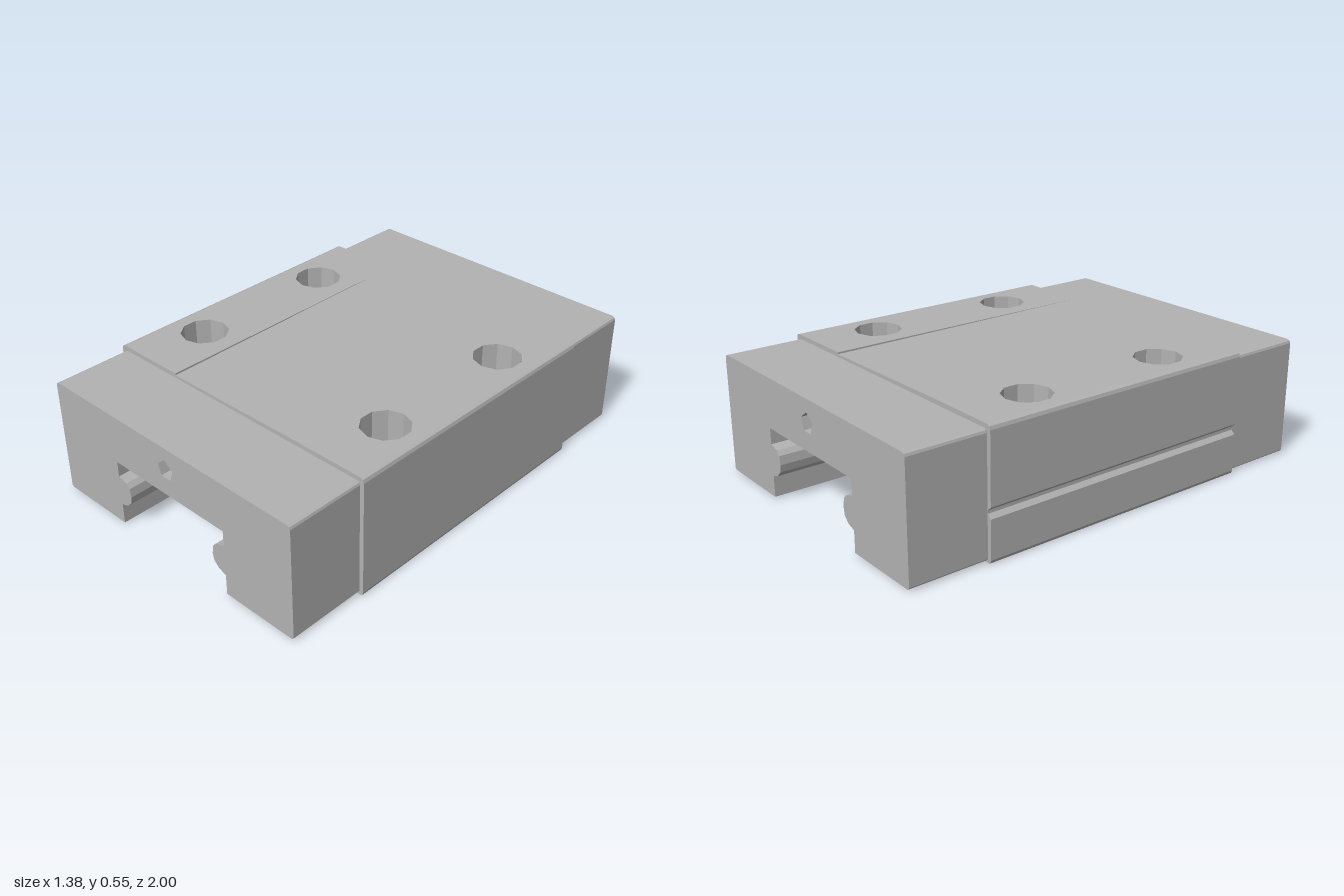
import * as THREE from 'three';

// Inner channel edge, from the +x foot upward: ball-race lobe, then the ceiling
const LOBE = [[0.312, 0.105], [0.275, 0.117], [0.25, 0.142], [0.244, 0.175],
  [0.25, 0.213], [0.268, 0.232], [0.312, 0.245], [0.312, 0.315]];

function channel(bottom) {
  const right = [[0.312, bottom], ...LOBE];
  const left = right.map(([x, y]) => [-x, y]).reverse();
  return [...right, ...left];
}

const toShape = (pts) => new THREE.Shape(pts.map(([x, y]) => new THREE.Vector2(x, y)));

function polygonHole(cx, cy, r, sides) {
  const pts = [];
  for (let i = 0; i < sides; i++) {
    const a = (i / sides) * Math.PI * 2;
    pts.push(new THREE.Vector2(cx + r * Math.sin(a), cy + r * Math.cos(a)));
  }
  return new THREE.Path(pts);
}

// Faceted conical bottom of a drilled hole, tip along +y
function drillTip(r, h, sides) {
  const g = new THREE.ConeGeometry(r, h, sides, 1, true).toNonIndexed();
  g.computeVertexNormals();
  return g;
}

export function createModel() {
  const model = new THREE.Group();
  model.name = 'linearGuideCarriage';
  const steel = new THREE.MeshStandardMaterial({ color: 0xb2b2b2, side: THREE.DoubleSide });
  steel.name = 'steelGrey';

  const add = (parent, name, geometry) => {
    const mesh = new THREE.Mesh(geometry, steel);
    mesh.name = name;
    parent.add(mesh);
    return mesh;
  };

  const W = 0.69, H = 0.555, L = 0.652;
  const inner = 0.345, outer = 0.645, pocket = 0.25;

  // Carriage body: lengthwise profile with pockets for the two drilled strips
  const body = toShape([
    ...channel(0.004).reverse(),
    [0.675, 0.004], [0.686, 0.008], [W, 0.02],
    [W, H - 0.02], [0.685, H - 0.006], [0.67, H],
    [outer, H], [outer, pocket], [inner, pocket], [inner, H],
    [-inner, H], [-inner, pocket], [-outer, pocket], [-outer, H],
    [-0.67, H], [-0.685, H - 0.006], [-W, H - 0.02],
    [-W, 0.235], [-0.672, 0.218], [-0.672, 0.204], [-W, 0.187],
    [-W, 0.02], [-0.686, 0.008], [-0.675, 0.004],
  ]);
  const bodyGeo = new THREE.ExtrudeGeometry(body, { depth: 2 * L, bevelEnabled: false });
  bodyGeo.translate(0, 0, -L);

  // The middle of the top dips slightly at two opposite corners
  const p = bodyGeo.attributes.position;
  for (let i = 0; i < p.count; i++) {
    const x = p.getX(i);
    if (Math.abs(Math.abs(x) - inner) < 1e-4 && p.getY(i) > 0.5 && x * p.getZ(i) < 0) {
      p.setY(i, H - 0.008);
    }
  }
  bodyGeo.computeVertexNormals();
  add(model, 'carriageBody', bodyGeo);

  // Drilled top strips with mounting holes
  for (const s of [-1, 1]) {
    const a = s * inner, b = s * outer;
    const strip = toShape([[a, -L], [b, -L], [b, L], [a, L]]);
    for (const z of [-0.345, 0.345]) strip.holes.push(polygonHole(s * 0.518, z, 0.104, 10));
    const g = new THREE.ExtrudeGeometry(strip, { depth: H - pocket, bevelEnabled: false });
    g.rotateX(-Math.PI / 2).translate(0, pocket, 0);
    add(model, s > 0 ? 'leftMountingStrip' : 'rightMountingStrip', g);

    for (const z of [-0.345, 0.345]) {
      const tip = drillTip(0.104, 0.06, 10).rotateX(Math.PI);
      add(model, 'mountingHoleBottom', tip).position.set(s * 0.518, 0.31, z);
    }
  }

  // End caps, slightly smaller than the body, each with a small port
  const capShape = toShape([
    ...channel(0.011).reverse(),
    [0.662, 0.011], [0.671, 0.02], [0.671, 0.52], [0.667, 0.53], [0.656, 0.535],
    [-0.656, 0.535], [-0.667, 0.53], [-0.671, 0.52], [-0.671, 0.02], [-0.662, 0.011],
  ]);
  capShape.holes.push(polygonHole(0, 0.433, 0.045, 5));
  const capGeo = new THREE.ExtrudeGeometry(capShape, { depth: 1 - L, bevelEnabled: false });
  capGeo.translate(0, 0, L);
  for (const front of [true, false]) {
    const cap = new THREE.Group();
    cap.name = front ? 'frontEndCap' : 'backEndCap';
    add(cap, 'capBlock', capGeo);
    const tip = drillTip(0.045, 0.03, 5).rotateX(-Math.PI / 2);
    add(cap, 'portBottom', tip).position.set(0, 0.433, 0.87);
    if (!front) cap.rotation.y = Math.PI;
    model.add(cap);
  }

  return model;
}
